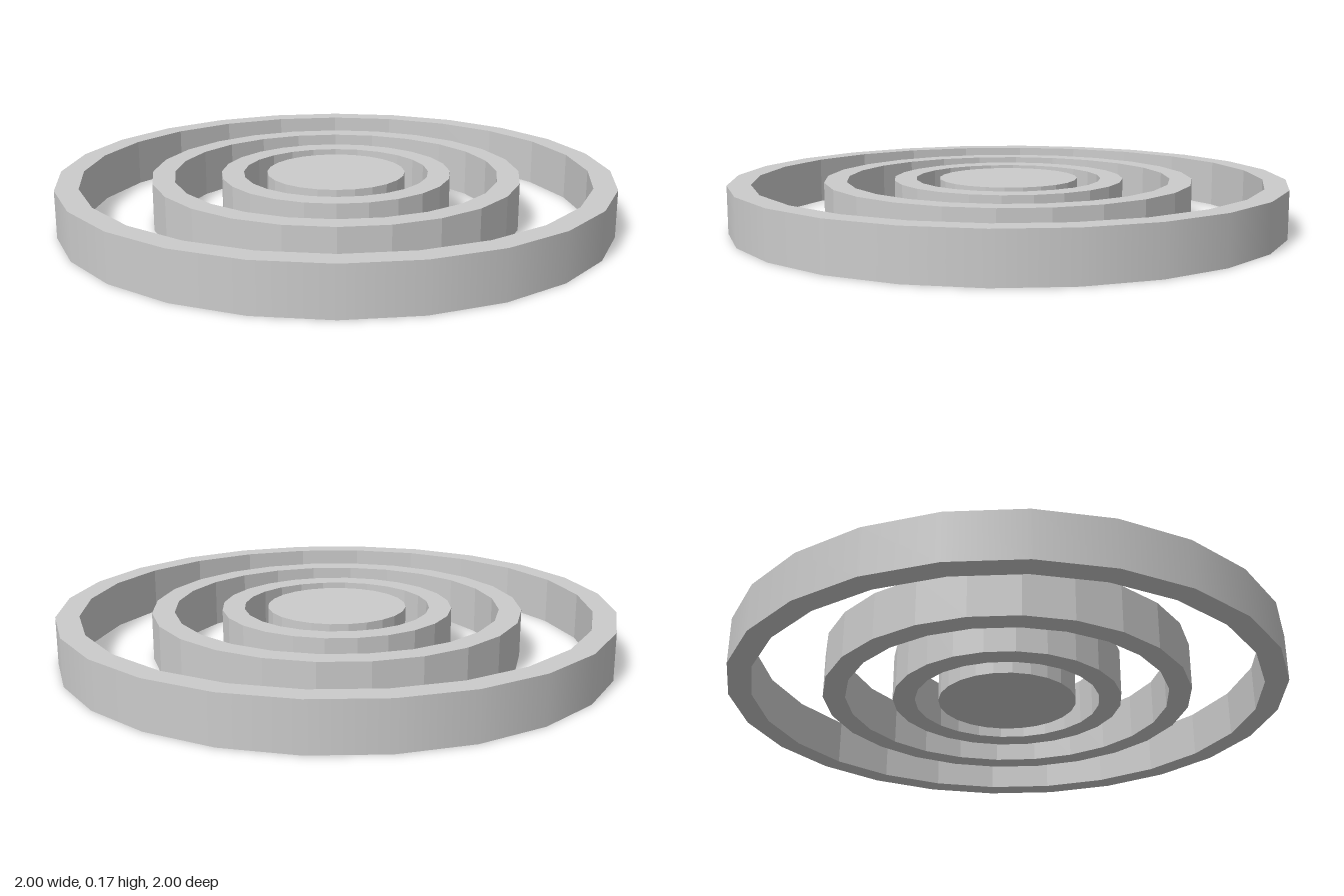
import * as THREE from 'three';

const HEIGHT = 0.17;
const SIDES = 24;

const smooth = new THREE.MeshStandardMaterial({ color: 0xcccccc });
const faceted = new THREE.MeshStandardMaterial({ color: 0xcccccc, flatShading: true });

// Turn a profile of [radius, height] points around the y axis
function turned(name, points, material) {
  const profile = points.map(([r, y]) => new THREE.Vector2(r, y));
  const mesh = new THREE.Mesh(new THREE.LatheGeometry(profile, SIDES), material);
  mesh.name = name;
  return mesh;
}

// Ring with a rectangular section: outer wall, then top, inner wall and bottom
function ring(name, outer, inner, wallMaterial) {
  const group = new THREE.Group();
  group.name = name;
  group.add(
    turned(name + 'OuterWall', [[outer, 0], [outer, HEIGHT]], wallMaterial),
    turned(name + 'Body', [[outer, HEIGHT], [inner, HEIGHT], [inner, 0], [outer, 0]], faceted)
  );
  return group;
}

export function createModel() {
  const model = new THREE.Group();
  model.name = 'concentricRings';

  // Three nested rings
  model.add(
    ring('outerRing', 1, 0.917, smooth),
    ring('middleRing', 0.665, 0.585, faceted),
    ring('innerRing', 0.415, 0.335, faceted)
  );

  // Solid disc in the centre
  const disc = new THREE.Mesh(new THREE.CylinderGeometry(0.25, 0.25, HEIGHT, SIDES), faceted);
  disc.name = 'centreDisc';
  disc.position.y = HEIGHT / 2;
  model.add(disc);

  return model;
}
